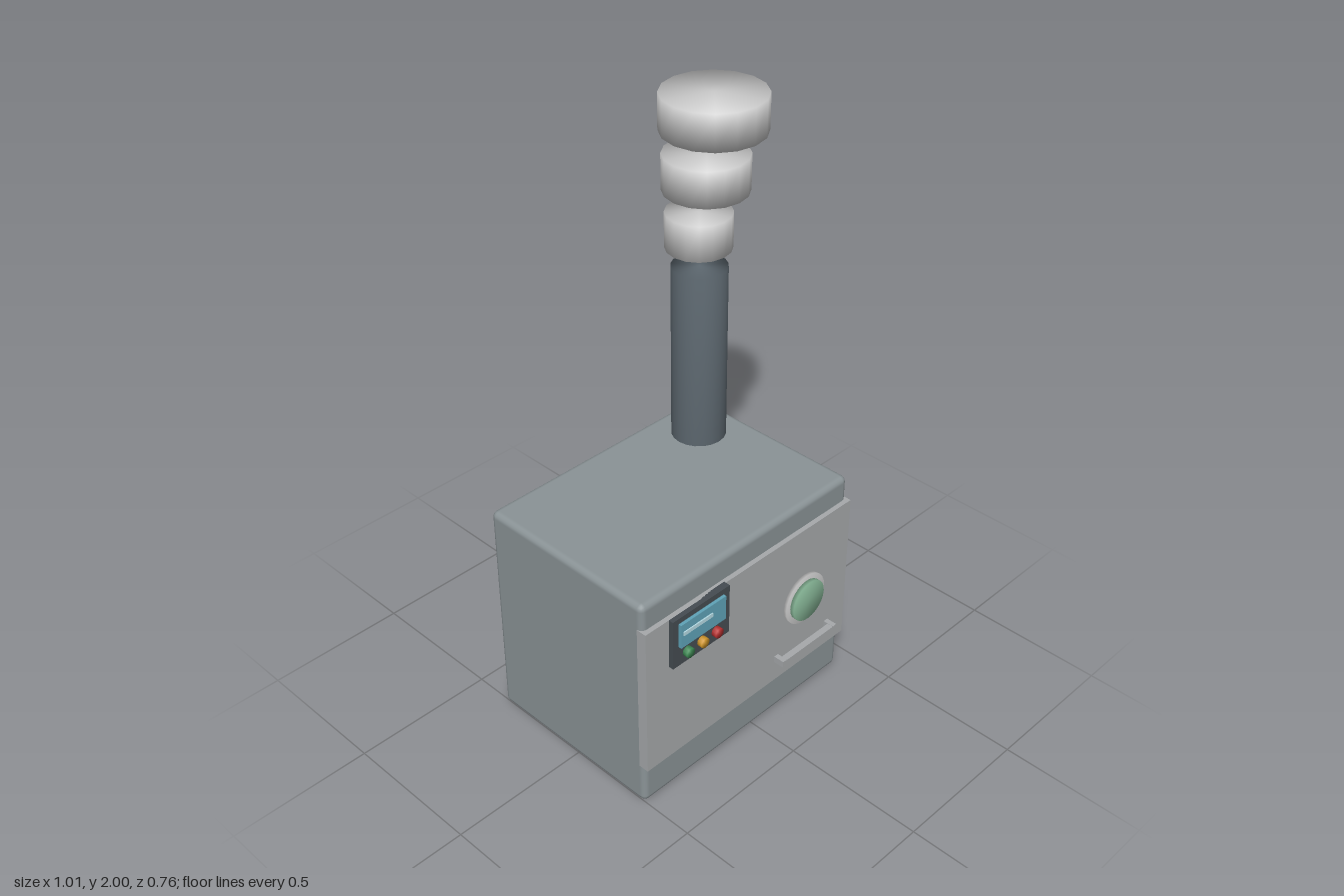
import * as THREE from 'three';
import { mergeVertices } from 'three/addons/utils/BufferGeometryUtils.js';
import { RoundedBoxGeometry } from 'three/addons/geometries/RoundedBoxGeometry.js';

const mat = (color) => new THREE.MeshStandardMaterial({ color });
const casing = mat(0x8a9396), plate = mat(0xa6a9ab), dark = mat(0x454c52);
const pipe = mat(0x5f6a72), pale = mat(0xcccccc), rubber = mat(0x2c2f31);

// Cylinder with shared normals across wall and caps, for a soft pillowy look
function softCylinder(r, h, sides) {
  const g = new THREE.CylinderGeometry(r, r, h, sides);
  g.deleteAttribute('normal');
  g.deleteAttribute('uv');
  const soft = mergeVertices(g, 1e-4);
  soft.computeVertexNormals();
  return soft;
}

export function createModel() {
  const model = new THREE.Group();

  const add = (name, geometry, material, x, y, z) => {
    const mesh = new THREE.Mesh(geometry, material);
    mesh.name = name;
    mesh.position.set(x, y, z);
    model.add(mesh);
    return mesh;
  };
  // Box given by its minimum and maximum corners
  const box = (name, material, [x0, y0, z0], [x1, y1, z1]) =>
    add(name, new THREE.BoxGeometry(x1 - x0, y1 - y0, z1 - z0), material,
      (x0 + x1) / 2, (y0 + y1) / 2, (z0 + z1) / 2);
  // Disc facing the front, from z0 to z1
  const disc = (name, material, r, x, y, z0, z1, sides) => {
    const mesh = add(name, softCylinder(r, z1 - z0, sides), material, x, y, (z0 + z1) / 2);
    mesh.rotation.x = Math.PI / 2;
  };

  // Casing and front panel
  add('body', new RoundedBoxGeometry(0.935, 0.806, 0.68, 2, 0.022), casing, -0.042, 0.407, -0.02);
  box('frontPanel', plate, [-0.51, 0.16, 0.3], [0.426, 0.72, 0.337]);

  // Feet, almost flush with the underside
  for (const x of [-0.425, 0.34])
    for (const z of [-0.275, 0.235])
      add('foot', new THREE.CylinderGeometry(0.04, 0.04, 0.04, 16), rubber, x, 0.02, z);

  // Control unit: housing, screen, readout and three buttons
  box('controlHousing', dark, [-0.413, 0.535, 0.33], [-0.167, 0.72, 0.354]);
  box('screen', mat(0x5fa3b8), [-0.389, 0.61, 0.35], [-0.194, 0.7, 0.365]);
  box('readoutLine', mat(0xb5dbe4), [-0.38, 0.657, 0.36], [-0.255, 0.671, 0.369]);
  [0x3f8a55, 0xd0962a, 0xb83232].forEach((color, i) =>
    disc('button', mat(color), 0.018, -0.354 + i * 0.063, 0.575, 0.35, 0.372, 12));

  // Round window in its rim
  disc('windowRim', pale, 0.094, 0.207, 0.44, 0.33, 0.348, 24);
  disc('windowGlass', mat(0x86b596), 0.075, 0.207, 0.44, 0.34, 0.363, 24);

  // Handle: bar on two posts
  box('handleBar', plate, [0.084, 0.241, 0.354], [0.336, 0.263, 0.377]);
  for (const x of [0.084, 0.334])
    box('handlePost', plate, [x - 0.009, 0.24, 0.33], [x + 0.009, 0.264, 0.376]);

  // Chimney
  add('chimney', softCylinder(0.093, 0.64, 20), pipe, 0.272, 1.12, -0.205);

  // Smoke puffs, growing and drifting as they rise: [radius, x, y]
  for (const [r, x, y] of [[0.109, 0.271, 1.567], [0.14, 0.302, 1.753], [0.171, 0.334, 1.94]])
    add('smokePuff', softCylinder(r, 0.122, 16), pale, x, y, -0.208);

  return model;
}
